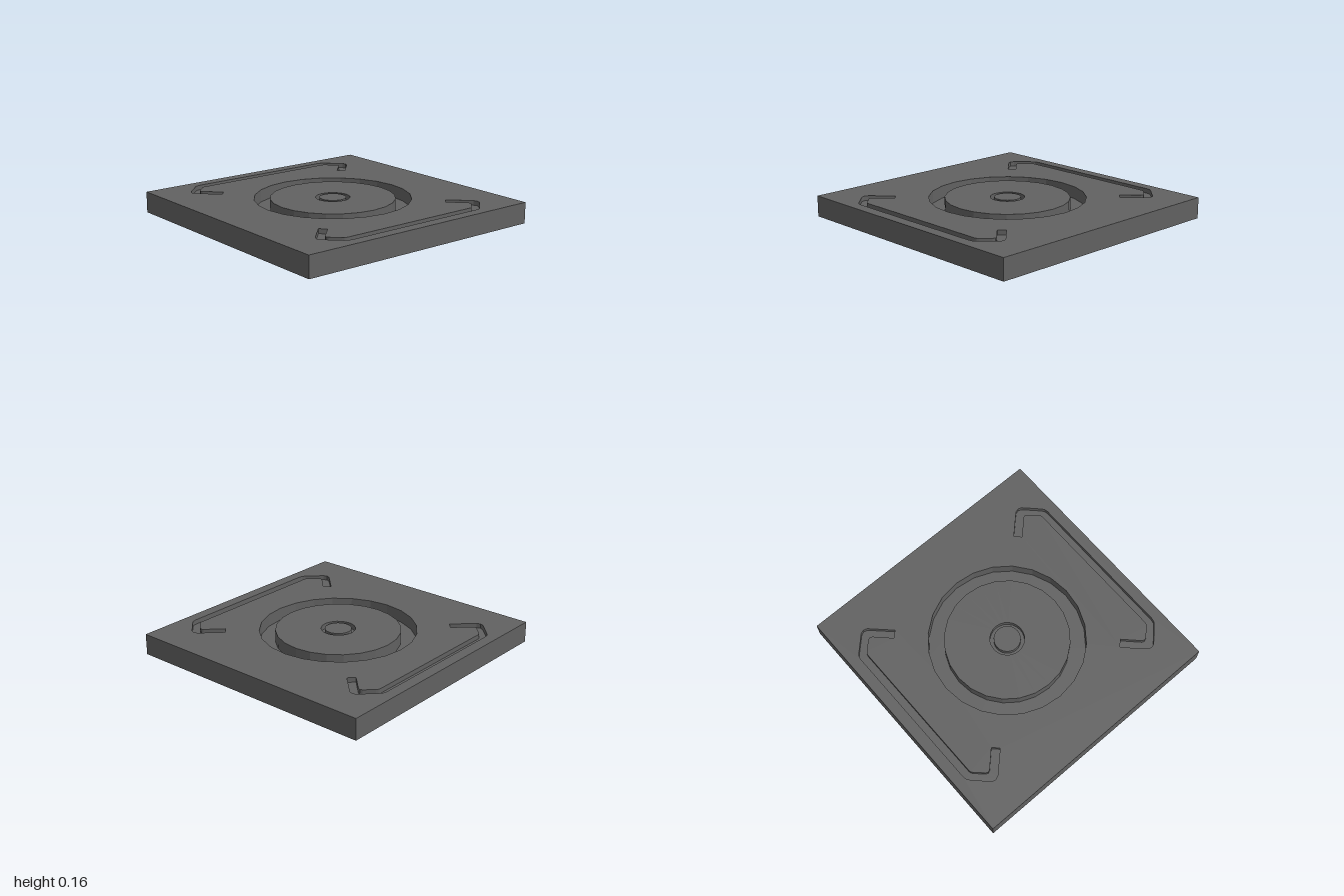
import * as THREE from 'three';

const TOP = 0.16, SLOT_DEPTH = 0.035, SIDES = 24;
const material = new THREE.MeshStandardMaterial({ color: 0x616161, flatShading: true, side: THREE.DoubleSide });

function part(name, geometry) {
  const mesh = new THREE.Mesh(geometry, material);
  mesh.name = name;
  return mesh;
}

// Vertical wall following a closed outline (x, -z), facing out of a counter-clockwise loop
function wall(points, y0, y1) {
  const pos = [];
  points.forEach((a, i) => {
    const b = points[(i + 1) % points.length];
    const [a0, b0, b1, a1] = [[a, y0], [b, y0], [b, y1], [a, y1]].map(([p, y]) => [p.x, y, -p.y]);
    pos.push(...a0, ...b0, ...b1, ...a0, ...b1, ...a1);
  });
  const geometry = new THREE.BufferGeometry();
  geometry.setAttribute('position', new THREE.Float32BufferAttribute(pos, 3));
  geometry.computeVertexNormals();
  return geometry;
}

// Horizontal sheet filling an outline at a height
function sheet(points, y, holes = []) {
  const shape = new THREE.Shape(points);
  holes.forEach((h) => shape.holes.push(new THREE.Path(h)));
  return new THREE.ShapeGeometry(shape).rotateX(-Math.PI / 2).translate(0, y, 0);
}

const vec = ([x, y]) => new THREE.Vector2(x, y);
const mirrorX = (pts) => pts.map(([x, y]) => [-x, y]).reverse();

// Bracket-shaped slot: right halves of its outer and inner edges
const outerEdge = [[0.595, 0.583], [0.738, 0.73], [0.748, 0.76], [0.738, 0.787], [0.63, 0.895], [0.61, 0.91], [0.58, 0.916]];
const innerEdge = [[0.55, 0.627], [0.665, 0.742], [0.672, 0.76], [0.665, 0.778], [0.603, 0.843], [0.59, 0.853], [0.575, 0.857]];
const bracket = [
  ...outerEdge, ...mirrorX(outerEdge),
  ...mirrorX(innerEdge).reverse(), ...[...innerEdge].reverse(),
];

export function createModel() {
  const model = new THREE.Group();
  model.name = 'panel';

  const square = [[-1, -1], [1, -1], [1, 1], [-1, 1]].map(vec);
  const slots = {
    backSlot: bracket.map(vec),
    frontSlot: bracket.map(([x, y]) => vec([x, -y])).reverse(),
  };
  const ringRadius = 0.585;
  const circle = Array.from({ length: SIDES }, (_, i) => {
    const a = (i / SIDES) * Math.PI * 2;
    return new THREE.Vector2(Math.cos(a) * ringRadius, Math.sin(a) * ringRadius);
  });

  // Thin open-bottomed tray
  model.add(part('topSheet', sheet(square, TOP, [circle, ...Object.values(slots)])));
  model.add(part('sideWalls', wall(square, 0, TOP)));

  // Wide ring groove, raised disc, small ring groove and centre button
  const ringFloor = TOP - 0.095, buttonFloor = TOP - 0.04;
  const profile = [
    [ringRadius, TOP], [ringRadius, ringFloor], [0.467, ringFloor], [0.467, TOP],
    [0.128, TOP], [0.128, buttonFloor], [0.1, buttonFloor], [0.1, TOP], [0, TOP],
  ].map(vec);
  model.add(part('concentricGrooves', new THREE.LatheGeometry(profile, SIDES)));

  // Sunken bracket slots at the front and back
  for (const [name, outline] of Object.entries(slots)) {
    const slot = new THREE.Group();
    slot.name = name;
    slot.add(part('slotFloor', sheet(outline, TOP - SLOT_DEPTH)));
    slot.add(part('slotWalls', wall([...outline].reverse(), TOP - SLOT_DEPTH, TOP)));
    model.add(slot);
  }
  return model;
}
